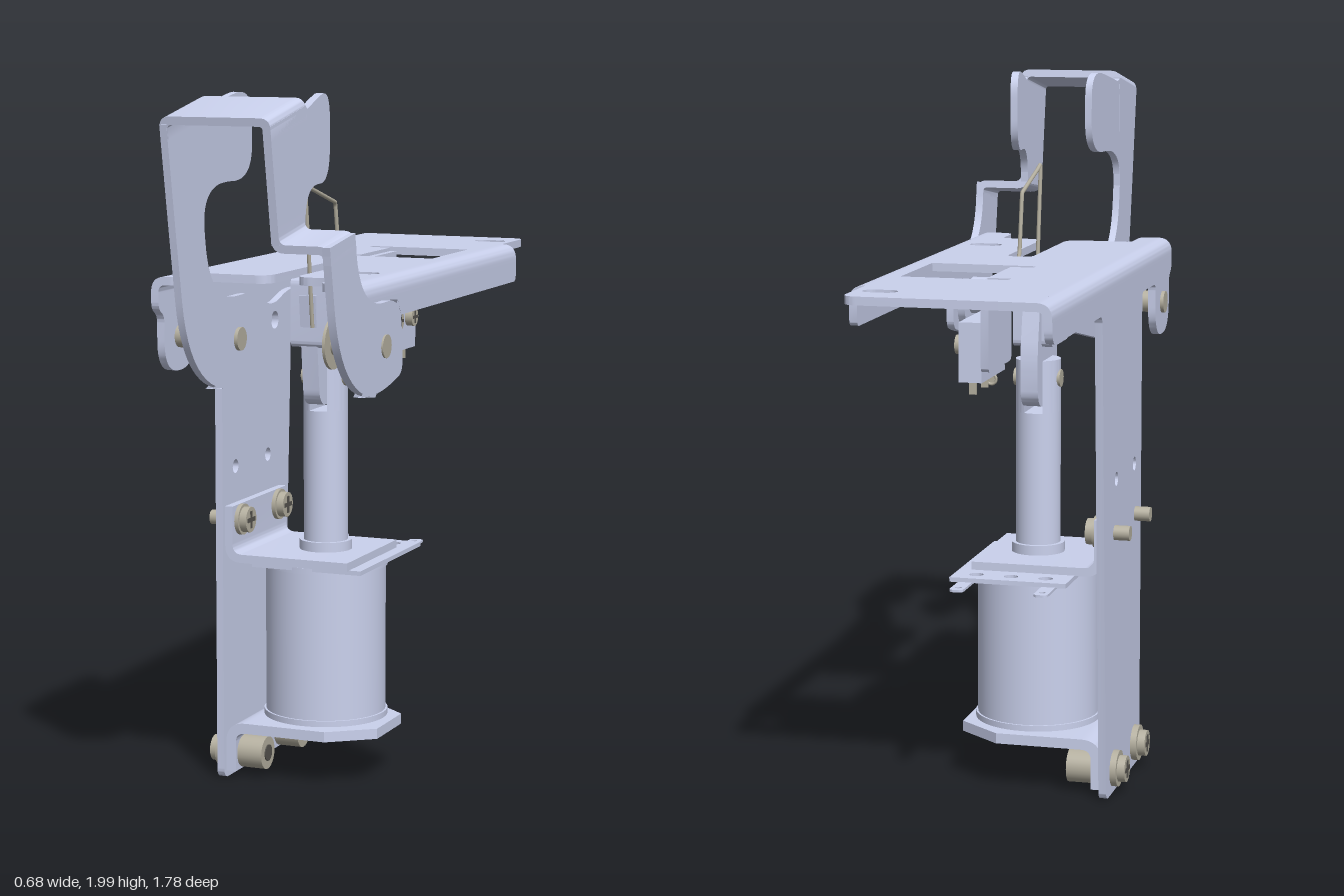
import * as THREE from 'three';
import { toCreasedNormals } from 'three/addons/utils/BufferGeometryUtils.js';

const steel = new THREE.MeshStandardMaterial({ color: 0xcad1ed, side: THREE.DoubleSide });
const hardware = new THREE.MeshStandardMaterial({ color: 0xb5b0a0, side: THREE.DoubleSide });
const dark = new THREE.MeshStandardMaterial({ color: 0x55534e });

// Polygon whose corners [a, b, r] are rounded with tangent length r
function rounded(points, C = THREE.Shape) {
  const s = new C(), n = points.length;
  points.forEach(([a, b, r = 0], i) => {
    const p = new THREE.Vector2(a, b);
    const toward = (q) => {
      const d = new THREE.Vector2(q[0], q[1]).sub(p);
      return p.clone().addScaledVector(d, Math.min(r / d.length(), 0.95));
    };
    const s0 = toward(points[(i + n - 1) % n]), s1 = toward(points[(i + 1) % n]);
    if (i) s.lineTo(s0.x, s0.y); else s.moveTo(s0.x, s0.y);
    if (r) s.quadraticCurveTo(a, b, s1.x, s1.y);
  });
  s.closePath();
  return s;
}
const circle = (a, b, r) => new THREE.Path().absarc(a, b, r, 0, Math.PI * 2);
const slot = (x, z, w, h) => {
  const p = new THREE.Path(), r = h / 2, d = w / 2 - r;
  p.absarc(x + d, -z, r, -Math.PI / 2, Math.PI / 2);
  p.absarc(x - d, -z, r, Math.PI / 2, Math.PI * 1.5);
  p.closePath();
  return p;
};
function extrude(points, depth, holes = []) {
  const s = rounded(points);
  s.holes = holes;
  return toCreasedNormals(new THREE.ExtrudeGeometry(s, { depth, bevelEnabled: false, curveSegments: 12 }), 0.5);
}

export function createModel() {
  const model = new THREE.Group();
  const add = (name, geometry, material = steel) => {
    const m = new THREE.Mesh(geometry, material);
    m.name = name;
    model.add(m);
    return m;
  };
  // Upright sheet from [z, y] points, between two x values
  const side = (name, pts, x0, x1, holes = []) => add(name,
    extrude(pts.map(([z, y, r]) => [-z, y, r]), x1 - x0, holes.map(([z, y, r]) => circle(-z, y, r)))
      .rotateY(Math.PI / 2).translate(x0, 0, 0));
  // Flat sheet from [x, z] points, between two heights
  const flat = (name, pts, y0, y1, holes) => add(name,
    extrude(pts.map(([x, z, r]) => [x, -z, r]), y1 - y0, holes).rotateX(-Math.PI / 2).translate(0, y0, 0));
  // Bent section from [x, y] points, running along z
  const section = (name, pts, z0, z1) => add(name, extrude(pts, z1 - z0).translate(0, 0, z0));
  const box = (name, x0, x1, y0, y1, z0, z1, mat) => add(name,
    new THREE.BoxGeometry(x1 - x0, y1 - y0, z1 - z0).translate((x0 + x1) / 2, (y0 + y1) / 2, (z0 + z1) / 2), mat);
  const rodX = (name, x0, x1, y, z, r, mat = steel, sides = 28) => add(name,
    new THREE.CylinderGeometry(r, r, x1 - x0, sides).rotateZ(Math.PI / 2).translate((x0 + x1) / 2, y, z), mat);
  const rodY = (name, y0, y1, r, x = -0.045, z = -0.037) => add(name,
    new THREE.CylinderGeometry(r, r, y1 - y0, 48).translate(x, (y0 + y1) / 2, z));
  const wire = (name, pts, r = 0.006) => {
    const path = new THREE.CurvePath();
    const v = pts.map((p) => new THREE.Vector3(...p));
    for (let i = 1; i < v.length; i++) path.add(new THREE.LineCurve3(v[i - 1], v[i]));
    return add(name, new THREE.TubeGeometry(path, 80, r, 8), hardware);
  };

  // Top plate with forked front, slots and window
  flat('topPlate', [
    [-0.255, -0.89], [0.26, -0.89, 0.04], [0.26, 0.575], [0.19, 0.575, 0.04], [0.19, 0.445, 0.02],
    [0.065, 0.445, 0.05], [0.065, -0.01], [0.05, 0.02, 0.01], [0.065, 0.02], [0.065, -0.0],
  ].slice(0, 6).concat([
    [0.065, 0.02, 0.035], [-0.01, 0.02, 0.035], [-0.01, 0.445, 0.05],
    [-0.205, 0.445, 0.02], [-0.205, 0.575, 0.04], [-0.255, 0.575],
  ]), 1.487, 1.51, [
    slot(-0.19, -0.775, 0.14, 0.055), slot(0.19, -0.775, 0.095, 0.055),
    slot(-0.19, -0.435, 0.14, 0.055), slot(0.195, 0.275, 0.095, 0.055),
    rounded([[-0.075, 0.48], [0.225, 0.48], [0.225, 0.18], [-0.075, 0.18], [-0.075, 0.21],
      [-0.01, 0.21], [-0.01, 0.45], [-0.075, 0.45]], THREE.Path),
  ]);
  // Rolled edges of the plate
  for (const [s, x, back] of [[1, 0.26, -0.685], [-1, -0.255, -0.89]]) {
    section('rolledEdge', [[x, 1.51], [x + s * 0.045, 1.51, 0.043], [x + s * 0.045, 1.46],
      [x + s * 0.023, 1.46], [x + s * 0.023, 1.487, 0.02], [x, 1.487]], back, 0.575);
  }
  // Side flanges with pivot lugs; the left-hand one continues as the tall wall
  const lug = [[0.575, 1.465], [0.575, 1.42, 0.02], [0.54, 1.4, 0.02], [0.54, 1.24, 0.09],
    [0.35, 1.24, 0.09], [0.35, 1.4, 0.02]];
  side('rightFlange', [...lug, [-0.685, 1.4, 0.02], [-0.685, 1.465]], 0.283, 0.305);
  side('mountingWall', [...lug, [0.17, 1.4, 0.02], [0.17, 0.01, 0.03], [-0.26, 0.01, 0.03],
    [-0.33, 1.4, 0.03], [-0.885, 1.4, 0.04], [-0.885, 1.465]], -0.3, -0.278,
  [[0.08, 0.915, 0.02], [-0.15, 0.915, 0.02]]);

  // Swinging arm: upper side plates, bent lobes, curved lower arms
  const upper = [[0.885, 1.935], [0.83, 1.63], [0.66, 1.655], [0.655, 1.78], [0.655, 1.98]];
  const lobe = [[0.66, 1.98], [0.64, 1.97, 0.01], [0.56, 1.99, 0.03], [0.42, 2.02, 0.09], [0.42, 1.765, 0.1],
    [0.56, 1.77, 0.04], [0.66, 1.75, 0.08], [0.66, 1.655]];
  const front = [[0.83, 1.63], [0.755, 1.235, 0.24], [0.5, 1.205, 0.12]];
  const inner = [[0.36, 1.455, 0.06], [0.63, 1.45, 0.17], [0.66, 1.655]];
  const ends = [[0.32, 1.25, 0.03], [0.325, 1.4, 0.06]];
  const leftEnds = [[0.03, 1.3, 0.04], [-0.11, 1.33, 0.06], [-0.1, 1.43, 0.05], [0.1, 1.44, 0.05], [0.22, 1.4, 0.05]];
  for (const [x0, x1, s] of [[-0.12, -0.1, 1], [0.168, 0.19, -1]]) {
    side('armUpperPlate', upper, x0, x1);
    const g = side('armLobe', lobe, x0, x1).geometry, p = g.attributes.position;
    for (let i = 0; i < p.count; i++) p.setX(i, p.getX(i) + s * 0.13 * (0.66 - p.getZ(i)));
  }
  side('armLowerRight', [...front, ...ends, ...inner], 0.308, 0.33, [[0.445, 1.335, 0.012]]);
  side('armLowerLeft', [...front, ...leftEnds, ...inner], -0.12, -0.1, [[0.2, 1.36, 0.025]]);
  const cap = section('armCap', [[-0.12, -0.06], [-0.12, 0, 0.03], [0.19, 0, 0.03], [0.19, -0.06],
    [0.168, -0.06], [0.168, -0.022, 0.012], [-0.098, -0.022, 0.012], [-0.098, -0.06]], 0, 0.23);
  cap.position.set(0, 2, 0.662);
  cap.rotation.x = 0.19;
  const step = section('armStep', [[0.168, 0.05], [0.19, 0.05], [0.19, 0, 0.02], [0.33, 0, 0.035], [0.33, -0.05],
    [0.308, -0.05], [0.308, -0.022, 0.012], [0.168, -0.022, 0.035]], 0, 0.172);
  step.position.set(0, 1.66, 0.66);
  step.rotation.x = 0.16;

  // Pivot pins with collars and clip
  rodX('leftPivotPin', -0.31, -0.09, 1.335, 0.445, 0.032, hardware);
  rodX('leftPivotCollar', -0.205, -0.12, 1.335, 0.445, 0.055);
  rodX('rightPivotPin', 0.16, 0.335, 1.335, 0.445, 0.032, hardware);
  rodX('rightPivotCollar', 0.2, 0.308, 1.335, 0.445, 0.055);
  rodX('pivotClip', 0.175, 0.183, 1.335, 0.445, 0.07, hardware);

  // Coil and plunger, the plunger top slotted for the link
  rodY('coil', 0.19, 0.64, 0.174);
  rodY('coilLowerRim', 0.183, 0.2, 0.18);
  rodY('coilUpperRim', 0.628, 0.645, 0.18);
  rodY('coilStop', 0.135, 0.19, 0.06);
  rodY('coilCollar', 0.67, 0.7, 0.076);
  rodY('plunger', 0.68, 1.08, 0.064);
  for (const s of [1, -1]) {
    const arc = new THREE.Shape();
    arc.absarc(0, 0, 0.064, -1.13, 1.13);
    arc.closePath();
    const g = new THREE.ExtrudeGeometry(arc, { depth: 0.15, bevelEnabled: false, curveSegments: 16 });
    g.rotateX(-Math.PI / 2).rotateY(s > 0 ? 0 : Math.PI).translate(-0.045, 1.08, -0.037);
    add('plungerFork', toCreasedNormals(g, 0.5));
  }
  rodX('plungerPin', -0.113, 0.023, 1.175, -0.037, 0.025, hardware);
  side('link', [[0.1, 1.42], [0.065, 1.1, 0.05], [-0.14, 1.1, 0.06], [-0.145, 1.25, 0.05], [-0.11, 1.42]], -0.07, -0.02);
  side('linkHead', [[0.09, 1.27, 0.02], [-0.1, 1.27, 0.02], [-0.1, 1.475, 0.03], [0.09, 1.475, 0.03]], -0.1, 0.013);

  // Coil brackets and terminal board
  section('upperBracket', [[-0.278, 0.81], [-0.278, 0.648, 0.05], [0.1, 0.648], [0.1, 0.672],
    [-0.255, 0.672, 0.03], [-0.255, 0.81]], -0.23, 0.155);
  flat('terminalBoard', [[-0.2, 0.14], [0.135, 0.14], [0.135, -0.335], [-0.2, -0.335]], 0.636, 0.649,
    [-0.13, -0.03, 0.07].map((x) => circle(x, 0.285, 0.02)));
  for (const x of [-0.15, 0.09]) {
    flat('terminal', [[x - 0.02, -0.27], [x + 0.02, -0.27], [x + 0.02, -0.43, 0.015], [x - 0.02, -0.43, 0.015]],
      0.63, 0.637, [circle(x, 0.4, 0.009)]);
  }
  section('lowerBracketBend', [[-0.278, 0.03], [-0.278, 0.175, 0.06], [-0.19, 0.175], [-0.19, 0.145],
    [-0.248, 0.145, 0.03], [-0.248, 0.03]], -0.23, 0.155);
  flat('lowerBracket', [[-0.19, 0.155], [0.03, 0.155], [0.155, 0.06], [0.155, -0.13], [0.03, -0.23], [-0.19, -0.23]], 0.145, 0.175);

  // Bracket screws, lower ones with nuts inside
  const cross = (x, y, z, r) => {
    box('screwRecess', x - 0.002, x + 0.002, y - r, y + r, z - r / 4, z + r / 4, dark);
    box('screwRecess', x - 0.002, x + 0.002, y - r / 4, y + r / 4, z - r, z + r, dark);
  };
  for (const z of [0.097, -0.168]) {
    rodX('upperScrewShank', -0.345, -0.25, 0.765, z, 0.021, hardware);
    rodX('upperScrewWasher', -0.256, -0.243, 0.765, z, 0.045, hardware);
    rodX('upperScrewHead', -0.243, -0.222, 0.765, z, 0.037, hardware);
    cross(-0.222, 0.765, z, 0.025);
    rodX('lowerScrewHead', -0.34, -0.318, 0.08, z, 0.038, hardware);
    rodX('lowerScrewWasher', -0.318, -0.3, 0.08, z, 0.052, hardware);
    cross(-0.34, 0.08, z, 0.025);
    rodX('lowerNut', -0.25, -0.172, 0.08, z, 0.048, hardware);
    rodX('lowerScrewEnd', -0.25, -0.169, 0.08, z, 0.024, dark);
  }

  // Switch on its folded tab, with screws, pins and actuator wire
  side('switchTab', [[-0.21, 1.5], [-0.21, 1.25, 0.02], [-0.45, 1.25, 0.02], [-0.45, 1.5]], -0.012, 0.01);
  box('switchBody', 0.01, 0.075, 1.22, 1.385, -0.44, -0.2);
  for (const z of [-0.265, -0.38]) {
    rodX('switchScrew', 0.07, 0.097, 1.315, z, 0.027, hardware);
    cross(0.097, 1.315, z, 0.018);
  }
  for (const z of [-0.22, -0.3, -0.42]) box('switchPin', 0.03, 0.05, 1.185, 1.22, z - 0.004, z + 0.004, hardware);
  wire('actuatorWire', [[0.035, 1.35, 0.25], [0.035, 1.52, 0.27], [0.035, 1.75, 0.3], [0.035, 1.735, 0.26],
    [0.035, 1.685, 0.085], [0.035, 1.52, 0.057], [0.035, 1.4, 0], [0.035, 1.39, -0.21]]);
  const loop = add('springLoop', new THREE.TorusGeometry(0.014, 0.004, 8, 20).translate(0.035, 1.2, -0.25), hardware);
  loop.userData.detail = true;

  return model;
}
